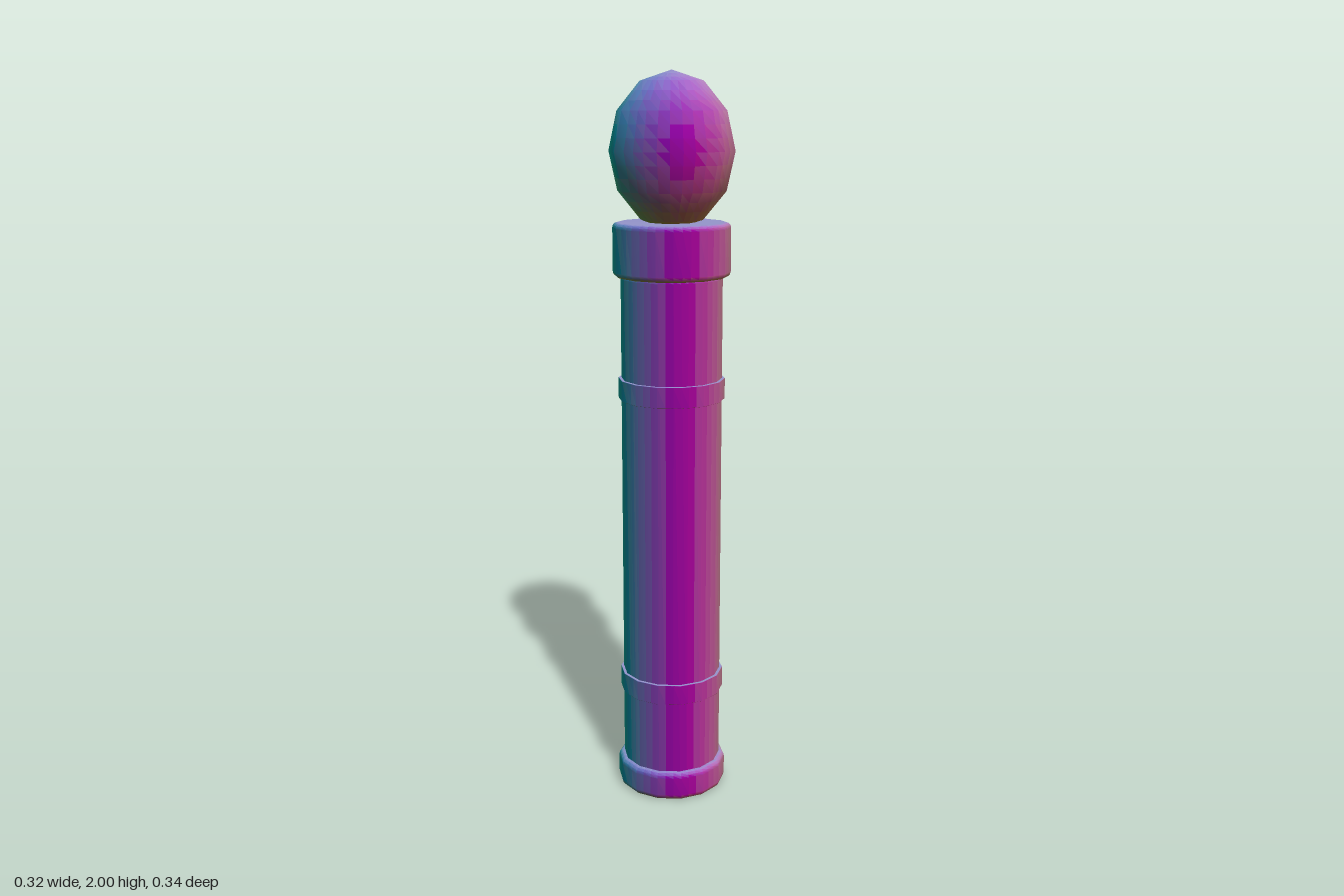
import * as THREE from 'three';

// Each face is coloured by the way it points: +x red, back green, up blue
function facingMaterial(n) {
  return new THREE.MeshStandardMaterial({
    color: new THREE.Color(1 + n.x, 1 - n.z, 1 + n.y).multiplyScalar(0.302),
  });
}

// Sort triangles by rounded facing and give each facing its own colour
function paint(name, geometry) {
  const { index, attributes: { normal } } = geometry;
  const buckets = new Map();
  const corner = new THREE.Vector3();
  for (let i = 0; i < index.count; i += 3) {
    const triangle = [0, 1, 2].map((k) => index.getX(i + k));
    const n = new THREE.Vector3();
    for (const v of triangle) n.add(corner.fromBufferAttribute(normal, v));
    n.normalize().multiplyScalar(10).round().divideScalar(10);
    const key = n.toArray().map((c) => c.toFixed(1)).join();
    if (!buckets.has(key)) buckets.set(key, { n, order: [] });
    buckets.get(key).order.push(...triangle);
  }
  const order = [];
  const materials = [];
  geometry.clearGroups();
  for (const bucket of buckets.values()) {
    geometry.addGroup(order.length, bucket.order.length, materials.length);
    order.push(...bucket.order);
    materials.push(facingMaterial(bucket.n));
  }
  geometry.setIndex(order);
  const mesh = new THREE.Mesh(geometry, materials);
  mesh.name = name;
  return mesh;
}

// Lathe pressed into a regular polygon, a corner facing +z, with round normals
function polygonLathe(profile, sides, slices) {
  const points = profile.map(([r, y]) => new THREE.Vector2(r, y));
  const geometry = new THREE.LatheGeometry(points, sides * slices);
  const position = geometry.attributes.position;
  const step = (2 * Math.PI) / sides;
  for (let i = 0; i < position.count; i++) {
    const x = position.getX(i);
    const z = position.getZ(i);
    const angle = (Math.atan2(x, z) + 2 * Math.PI) % step - step / 2;
    const press = Math.cos(step / 2) / Math.cos(angle);
    position.setX(i, x * press);
    position.setZ(i, z * press);
  }
  return geometry;
}

// Upright solid ring or column with rounded rims
function column(name, radius, y0, y1, bevel) {
  const lower = [];
  const upper = [];
  for (let i = 0; i <= 3; i++) {
    const a = (i * Math.PI) / 6;
    const inset = bevel * (1 - Math.sin(a));
    const lift = bevel * (1 - Math.cos(a));
    lower.push([radius - inset, y0 + lift]);
    upper.unshift([radius - inset, y1 - lift]);
  }
  return paint(name, polygonLathe([[0, y0], ...lower, ...upper, [0, y1]], 14, 3));
}

// Egg-shaped head: ten sides, six straight tiers, each cut in three for colour
function makeHead(radius, height, centre) {
  const profile = [];
  for (let i = 0; i <= 18; i++) {
    const tier = Math.min(Math.floor(i / 3), 5);
    const t = i / 3 - tier;
    const a = (tier * Math.PI) / 6;
    const b = a + Math.PI / 6;
    profile.push([
      Math.max(0, radius * THREE.MathUtils.lerp(Math.sin(a), Math.sin(b), t)),
      -height * THREE.MathUtils.lerp(Math.cos(a), Math.cos(b), t),
    ]);
  }
  const geometry = polygonLathe(profile, 10, 3);
  const { position, normal } = geometry.attributes;
  const n = new THREE.Vector3();
  for (let i = 0; i < position.count; i++) {
    n.fromBufferAttribute(position, i);
    n.set(n.x / radius ** 2, n.y / height ** 2, n.z / radius ** 2).normalize();
    normal.setXYZ(i, n.x, n.y, n.z);
  }
  const head = paint('head', geometry);
  head.position.y = centre;
  return head;
}

function box(name, w, h, d, y, z, turn = 0) {
  const mesh = paint(name, new THREE.BoxGeometry(w, h, d).rotateZ(turn));
  mesh.position.set(0, y, z);
  return mesh;
}

export function createModel() {
  const model = new THREE.Group();
  model.name = 'bollard';

  // Post with base, collar and two slim bands
  model.add(column('base', 0.153, 0, 0.083, 0.016));
  model.add(column('shaft', 0.137, 0.02, 1.474, 0.012));
  model.add(column('collar', 0.158, 1.467, 1.611, 0.014));
  model.add(column('lowerBand', 0.145, 0.29, 0.347, 0.001));
  model.add(column('upperBand', 0.145, 1.135, 1.192, 0.001));

  model.add(makeHead(0.168, 0.205, 1.795));

  // Plate on the back with a raised diamond and bar
  const panel = new THREE.Group();
  panel.name = 'backPanel';
  panel.add(box('plate', 0.188, 0.525, 0.013, 0.739, -0.146));
  panel.add(box('diamond', 0.081, 0.081, 0.01, 0.79, -0.155, Math.PI / 4));
  panel.add(box('bar', 0.125, 0.032, 0.01, 0.615, -0.155));
  model.add(panel);

  return model;
}
